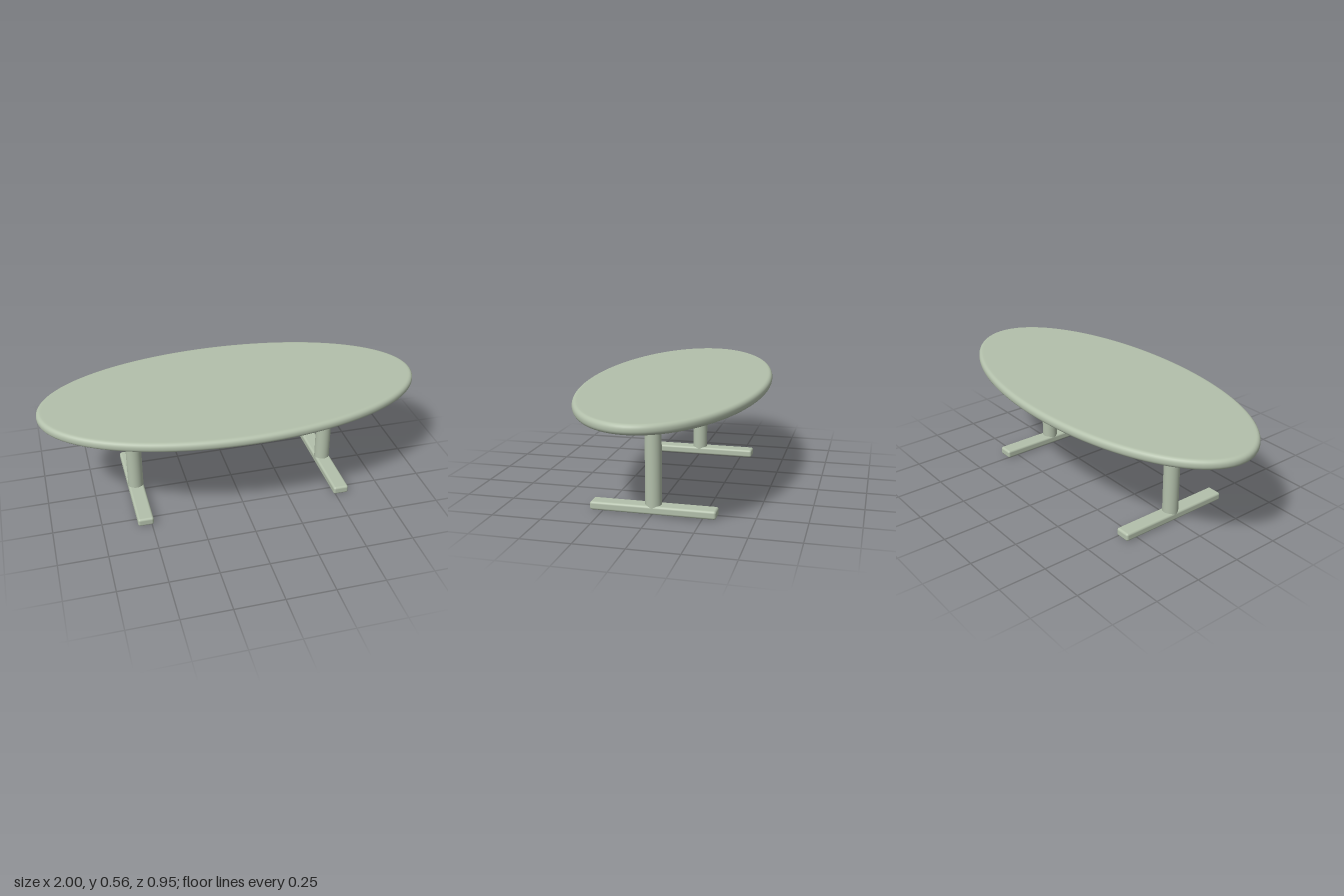
import * as THREE from 'three';
import { mergeVertices } from 'three/addons/utils/BufferGeometryUtils.js';
import { RoundedBoxGeometry } from 'three/addons/geometries/RoundedBoxGeometry.js';

const RX = 1, RZ = 0.475, TOP = 0.56, UNDER = 0.51;
const material = new THREE.MeshStandardMaterial({ color: 0xb3c0ab });

function addMesh(parent, name, geometry, x, y, z) {
  const mesh = new THREE.Mesh(geometry, material);
  mesh.name = name;
  mesh.position.set(x, y, z);
  parent.add(mesh);
  return mesh;
}

// Elliptical slab whose rounded rim keeps the same width all the way round
function tabletopGeometry() {
  const r = 0.022, inner = RX - r;
  const profile = [new THREE.Vector2(0, UNDER), new THREE.Vector2(inner - 0.01, UNDER)];
  for (const [cy, start] of [[UNDER + r, -Math.PI / 2], [TOP - r, 0]]) {
    for (let i = 0; i <= 6; i++) {
      const a = start + (i / 6) * Math.PI / 2;
      profile.push(new THREE.Vector2(inner + r * Math.cos(a), cy + r * Math.sin(a)));
    }
  }
  profile.push(new THREE.Vector2(inner - 0.01, TOP), new THREE.Vector2(0, TOP));

  let geometry = new THREE.LatheGeometry(profile, 96);
  const p = geometry.attributes.position;
  for (let i = 0; i < p.count; i++) {
    const radius = Math.hypot(p.getX(i), p.getZ(i));
    const scale = radius > 0.5 ? (radius - (RX - RZ)) / radius : RZ;
    p.setZ(i, p.getZ(i) * scale);
  }
  geometry.deleteAttribute('uv');
  geometry.deleteAttribute('normal');
  geometry = mergeVertices(geometry, 1e-5);
  geometry.computeVertexNormals();
  return geometry;
}

export function createModel() {
  const table = new THREE.Group();
  table.name = 'ovalTable';

  addMesh(table, 'tabletop', tabletopGeometry(), 0, 0, 0);

  // Two T-shaped legs: round post on a rounded floor bar
  for (const side of [-1, 1]) {
    const leg = new THREE.Group();
    leg.name = side > 0 ? 'leftLeg' : 'rightLeg';
    leg.position.x = side * 0.53;
    const height = UNDER - 0.03;
    addMesh(leg, 'post', new THREE.CylinderGeometry(0.041, 0.041, height, 40), 0, 0.03 + height / 2, 0);
    addMesh(leg, 'foot', new RoundedBoxGeometry(0.082, 0.043, 0.632, 4, 0.012), 0, 0.0215, 0);
    table.add(leg);
  }

  // Rail under the top joining the posts
  addMesh(table, 'rail', new RoundedBoxGeometry(1.02, 0.038, 0.045, 4, 0.01), 0, 0.492, 0);

  return table;
}
